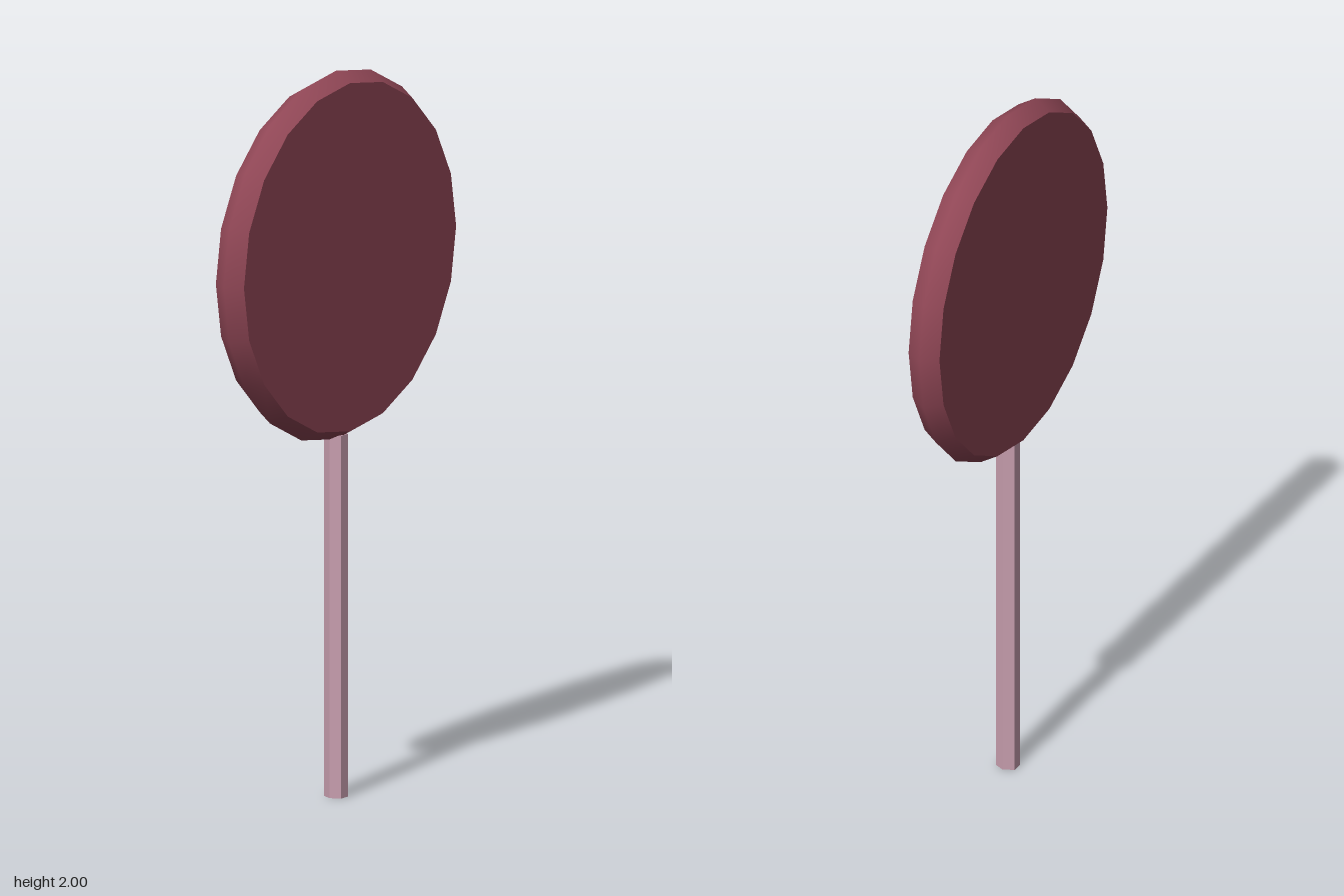
import * as THREE from 'three';

export function createModel() {
  const model = new THREE.Group();
  const candyMaterial = new THREE.MeshStandardMaterial({ color: 0x8f4655 });
  const stickMaterial = new THREE.MeshStandardMaterial({ color: 0xc99fb0, flatShading: true });

  const sides = 20, rimRadius = 0.508, faceRadius = 0.48, halfDepth = 0.047;

  // Candy disc: smooth ridged rim with a flat face on either side
  const candy = new THREE.Group();
  candy.name = 'candy';
  candy.position.y = 2 - rimRadius;
  const profile = [
    new THREE.Vector2(faceRadius, -halfDepth),
    new THREE.Vector2(rimRadius, 0),
    new THREE.Vector2(faceRadius, halfDepth),
  ];
  const rim = new THREE.Mesh(new THREE.LatheGeometry(profile, sides).rotateX(Math.PI / 2), candyMaterial);
  rim.name = 'candyRim';
  candy.add(rim);
  for (const [name, turn] of [['candyFront', 0], ['candyBack', Math.PI]]) {
    const face = new THREE.Mesh(
      new THREE.CircleGeometry(faceRadius, sides).translate(0, 0, halfDepth).rotateY(turn),
      candyMaterial
    );
    face.name = name;
    candy.add(face);
  }
  model.add(candy);

  // Six-sided stick, corners pointing left and right
  const stickHeight = 1;
  const stick = new THREE.Mesh(
    new THREE.CylinderGeometry(0.03, 0.03, stickHeight, 6)
      .rotateY(Math.PI / 6)
      .scale(1, 1, 1.1)
      .translate(0, stickHeight / 2, 0),
    stickMaterial
  );
  stick.name = 'stick';
  model.add(stick);

  return model;
}
